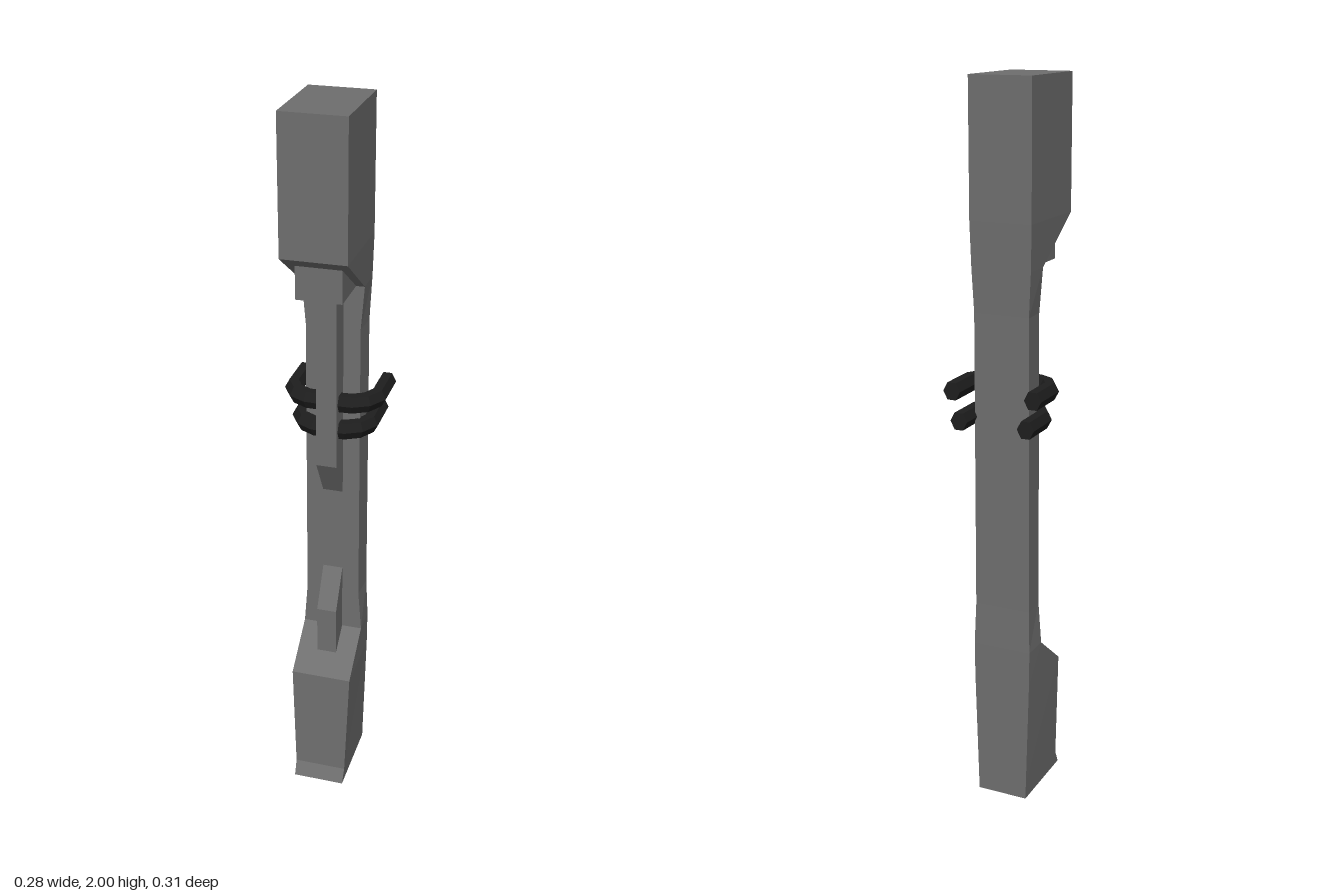
import * as THREE from 'three';

const grey = new THREE.MeshStandardMaterial({ color: 0x6e6e6e });
grey.name = 'body grey';
const black = new THREE.MeshStandardMaterial({ color: 0x1e1e1e });
black.name = 'hook black';

// Skins equal-sized rings (counter-clockwise about the travel direction), capped, with flat faces
function loft(rings) {
  const pos = [];
  const tri = (a, b, c) => pos.push(...a, ...b, ...c);
  const n = rings[0].length, last = rings[rings.length - 1];
  for (let i = 0; i < rings.length - 1; i++) {
    for (let j = 0; j < n; j++) {
      const k = (j + 1) % n, lo = rings[i], hi = rings[i + 1];
      tri(lo[j], lo[k], hi[k]);
      tri(lo[j], hi[k], hi[j]);
    }
  }
  for (let j = 1; j < n - 1; j++) {
    tri(rings[0][0], rings[0][j + 1], rings[0][j]);
    tri(last[0], last[j], last[j + 1]);
  }
  const geo = new THREE.BufferGeometry();
  geo.setAttribute('position', new THREE.Float32BufferAttribute(pos, 3));
  geo.computeVertexNormals();
  return geo;
}

// Rectangular section at height y: front half width, front z, back half width, back z
const section = (y, wf, zf, wb, zb) =>
  [[-wf, y, zf], [wf, y, zf], [wb, y, zb], [-wb, y, zb]];

// Six-sided bar along a horizontal path of [x, z] points, mitred at the bends
function bar(path, y, r) {
  const dir = (a, b) => new THREE.Vector2(b[0] - a[0], b[1] - a[1]).normalize();
  return loft(path.map((p, i) => {
    const before = dir(path[Math.max(i - 1, 0)], path[Math.max(i, 1)]);
    const e = Math.min(i, path.length - 2);
    const after = dir(path[e], path[e + 1]);
    const t = before.clone().add(after).normalize();
    const w = r / t.dot(after);
    return Array.from({ length: 6 }, (_, k) => {
      const a = k * Math.PI / 3, c = Math.cos(a) * w;
      return [p[0] + t.y * c, y + Math.sin(a) * r * 1.12, p[1] - t.x * c];
    });
  }));
}

export function createModel() {
  const model = new THREE.Group();
  model.name = 'post';
  const add = (name, geo, mat) => {
    const mesh = new THREE.Mesh(geo, mat);
    mesh.name = name;
    model.add(mesh);
    return mesh;
  };

  // Post with a flared foot, slim recessed shaft and heavy head
  add('column', loft([
    section(0, 0.073, 0.135, 0.073, -0.098),
    section(0.04, 0.074, 0.115, 0.074, -0.098),
    section(0.36, 0.085, 0.105, 0.083, -0.098),
    section(0.46, 0.085, -0.02, 0.084, -0.098),
    section(0.58, 0.076, -0.02, 0.08, -0.094),
    section(1.4, 0.074, -0.02, 0.078, -0.094),
    section(1.52, 0.084, -0.02, 0.084, -0.096),
    section(1.64, 0.087, 0.155, 0.087, -0.099),
    section(2, 0.087, 0.155, 0.087, -0.099),
  ]), grey);

  // Block under the head
  const block = add('headBlock', new THREE.BoxGeometry(0.122, 0.09, 0.16), grey);
  block.position.set(0, 1.565, 0.03);

  // Ribs on the front of the shaft, tapering into it
  add('upperRib', loft([
    section(0.91, 0.028, -0.02, 0.028, -0.05),
    section(1.02, 0.028, 0.045, 0.028, -0.05),
    section(1.54, 0.028, 0.045, 0.028, -0.05),
  ]), grey);
  add('lowerRib', loft([
    section(0.405, 0.028, 0.045, 0.028, -0.05),
    section(0.55, 0.028, 0.045, 0.028, -0.05),
    section(0.66, 0.028, -0.02, 0.028, -0.05),
  ]), grey);

  // Two pairs of hooks wrapping round the shaft to the back
  for (const [name, y, x] of [['upperHook', 1.2, 0.116], ['lowerHook', 1.12, 0.096]]) {
    for (const [side, s] of [['Left', 1], ['Right', -1]]) {
      const path = [[0.01, 0.012], [x - 0.056, 0.01], [x - 0.022, -0.008], [x, -0.045], [x, -0.155]];
      add(name + side, bar(path.map(([px, pz]) => [s * px, pz]), y, 0.024), black);
    }
  }
  return model;
}
